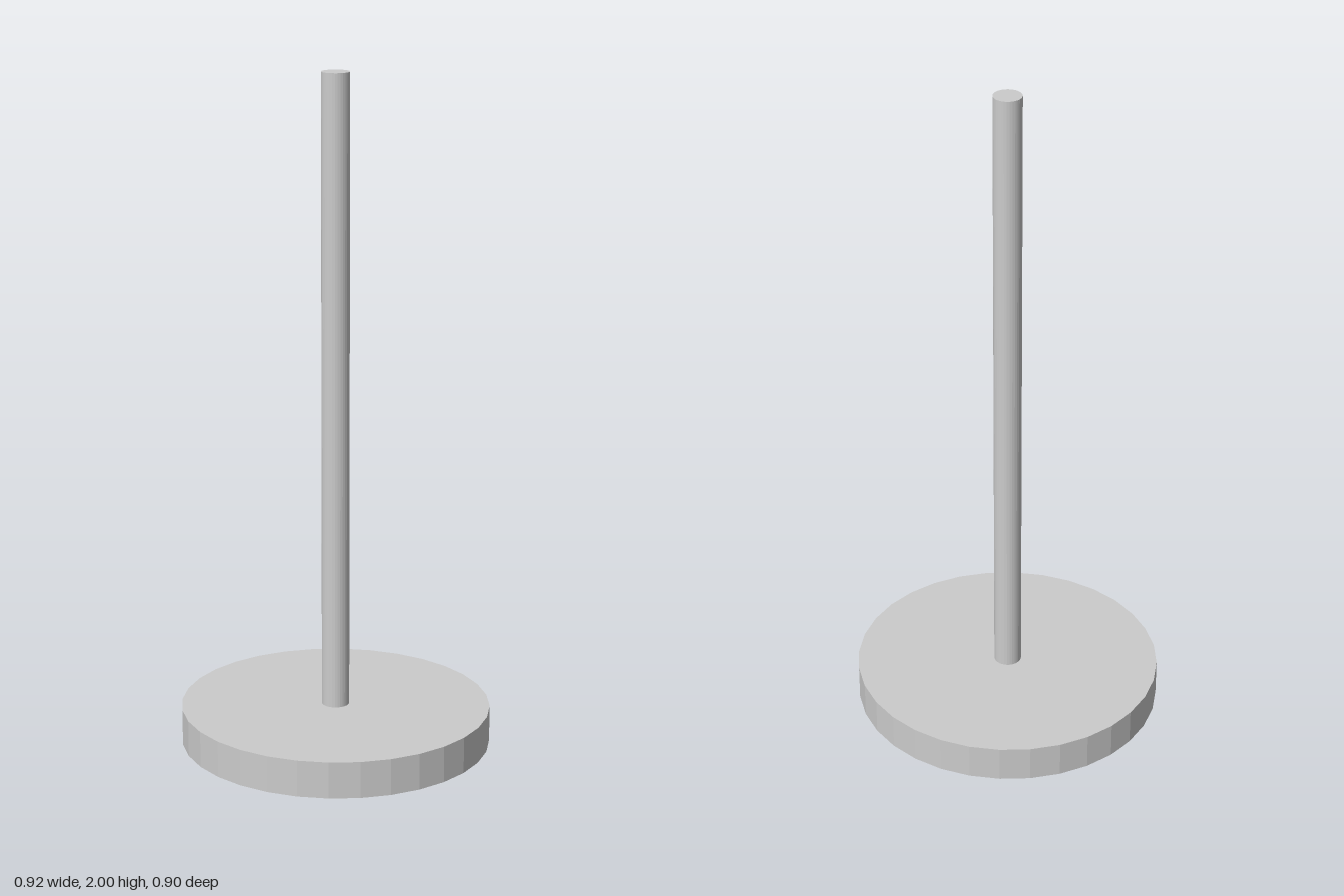
import * as THREE from 'three';

export function createModel() {
  const group = new THREE.Group();
  const material = new THREE.MeshStandardMaterial({ color: 0xcccccc, flatShading: true });

  // Upright faceted cylinder spanning two heights, with separate x and z radii
  const addCylinder = (name, radiusX, radiusZ, bottom, top) => {
    const geometry = new THREE.CylinderGeometry(1, 1, top - bottom, 32);
    geometry.scale(radiusX, 1, radiusZ);
    geometry.translate(0, (bottom + top) / 2, 0);
    const mesh = new THREE.Mesh(geometry, material);
    mesh.name = name;
    group.add(mesh);
  };

  // Slightly oval foot plate
  addCylinder('base', 0.462, 0.448, 0, 0.11);
  // Slender post standing on the plate
  addCylinder('pole', 0.041, 0.041, 0.11, 2);

  return group;
}
